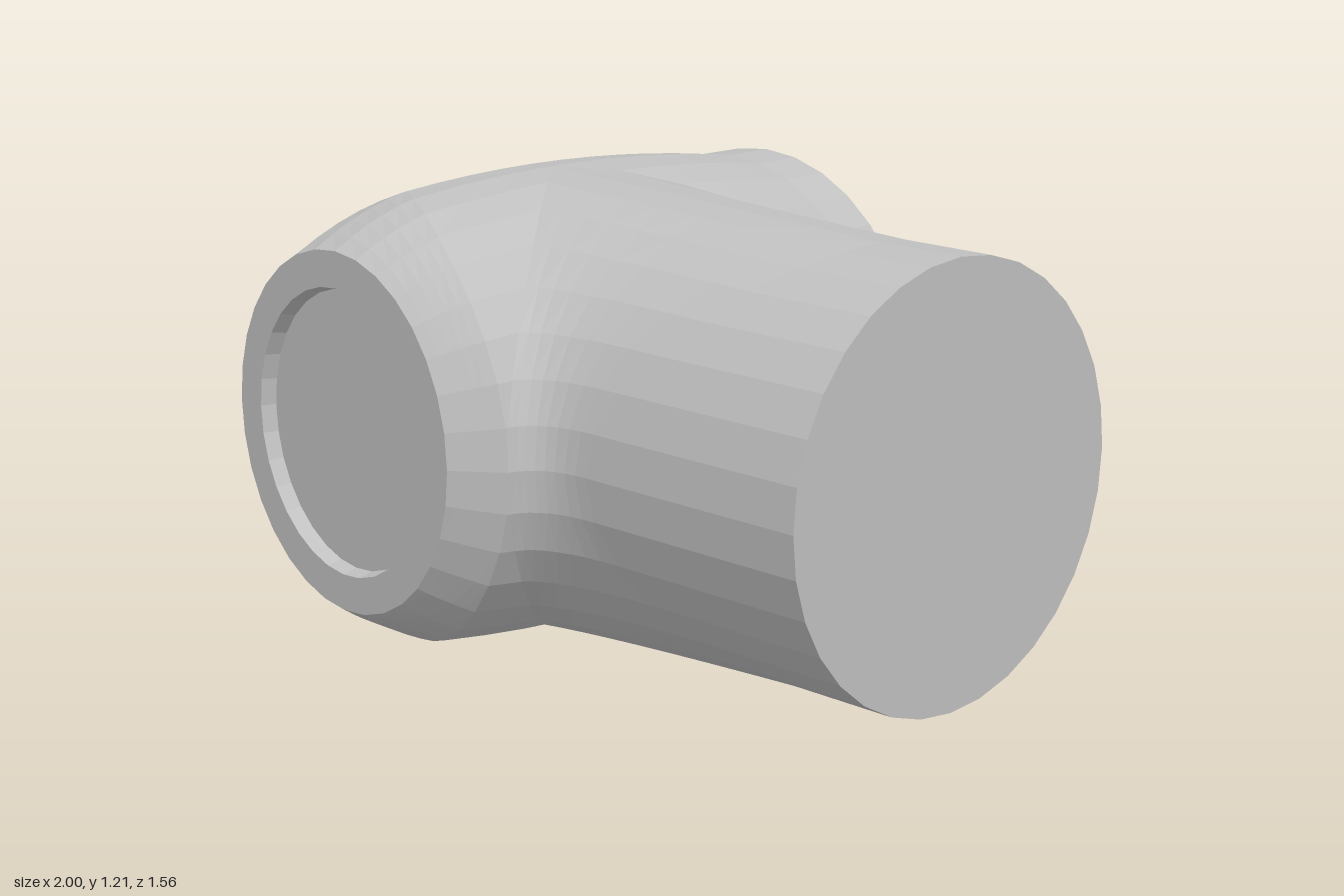
import * as THREE from 'three';

const SIDES = 32;
const CY = 0.607;      // height of both pipe axes
const CX = -0.397;     // x of the main run
const BZ = 0.026;      // z of the side branch
const PIPE_R = 0.557;

const V = (x, y, z) => new THREE.Vector3(x, y, z);
const lerp = THREE.MathUtils.lerp;
const ring = (fn) => Array.from({ length: SIDES }, (_, i) => fn((i / SIDES) * Math.PI * 2));

// Skin a list of closed rings; consecutive rings share their side count.
function loft(rings) {
  const pos = [], idx = [];
  rings.forEach((r) => r.forEach((p) => pos.push(p.x, p.y, p.z)));
  for (let i = 0; i < rings.length - 1; i++) {
    for (let j = 0; j < SIDES; j++) {
      const k = (j + 1) % SIDES;
      const a = i * SIDES + j, b = i * SIDES + k;
      idx.push(a, b, a + SIDES, b, b + SIDES, a + SIDES);
    }
  }
  const g = new THREE.BufferGeometry();
  g.setAttribute('position', new THREE.Float32BufferAttribute(pos, 3));
  g.setIndex(idx);
  g.computeVertexNormals();
  return g;
}

// Barrel radius of the main run along z
const barrelR = (z) => 0.603 - 0.112 * z * z;
const barrelPoint = (a, z) => V(CX + barrelR(z) * Math.cos(a), CY + barrelR(z) * Math.sin(a), z);

// Slanted crease where the barrel meets the tapered nose
const creaseZ = (a) => 0.5 + 0.33 * Math.cos(a) - 0.15 * Math.cos(a) ** 2;

// Point on the slightly turned front face, pushed in by depth
function facePoint(a, r, depth = 0) {
  const x = -0.43 + r * Math.cos(a);
  return V(x + 0.09 * depth, CY + r * Math.sin(a), 0.69 + (x + 0.89) * 0.092 - depth);
}

export function createModel() {
  const group = new THREE.Group();
  const grey = new THREE.MeshStandardMaterial({ color: 0xc0c0c0, flatShading: true });
  grey.name = 'grey';

  const add = (name, rings) => {
    const mesh = new THREE.Mesh(loft(rings), grey);
    mesh.name = name;
    group.add(mesh);
  };

  // Straight collar with closed back end
  const collarRing = (r, z) => ring((a) => V(CX + r * Math.cos(a), CY + r * Math.sin(a), z));
  add('backCollar', [collarRing(0, -0.78), collarRing(PIPE_R, -0.78), collarRing(PIPE_R, -0.64)]);

  // Bulging main run, from collar to crease
  const barrel = [];
  for (let i = 0; i <= 10; i++) {
    barrel.push(ring((a) => barrelPoint(a, lerp(-0.64, creaseZ(a), i / 10))));
  }
  add('mainBody', barrel);

  // Tapered nose, a little fuller on its long side
  const nose = [];
  for (let i = 0; i <= 5; i++) {
    const t = i / 5;
    nose.push(ring((a) => {
      const p = barrelPoint(a, creaseZ(a)).lerp(facePoint(a, 0.467), t);
      const bulge = 0.025 * 4 * t * (1 - t) * (1 - Math.cos(a)) / 2;
      return p.add(V(bulge * Math.cos(a), bulge * Math.sin(a), 0));
    }));
  }
  add('frontNose', nose);

  // Front rim with a shallow round recess
  add('frontRim', [ring((a) => facePoint(a, 0.467)), ring((a) => facePoint(a, 0.372))]);
  add('frontRecess', [
    ring((a) => facePoint(a, 0.372)),
    ring((a) => facePoint(a, 0.362, 0.04)),
    ring((a) => facePoint(a, 0, 0.04)),
  ]);

  // Side branch, flaring in a fillet onto the main run
  const branchPoint = (a, t) => {
    const s = Math.sin(a), c = -Math.cos(a), s2 = s * s;
    const fz = BZ + 0.658 * c;
    const r = barrelR(fz);
    const fy = r * s;
    const foot = V(CX + Math.sqrt(Math.max(0, r * r - fy * fy)), CY + fy, fz);
    const bend = V(foot.x + 0.015 + 0.3 * s2 * s2, CY + lerp(PIPE_R, 0.588, s2) * s, BZ + PIPE_R * c);
    const end = V(lerp(0.32, 0.75, s2), CY + PIPE_R * s, BZ + PIPE_R * c);
    return new THREE.QuadraticBezierCurve3(foot, bend, end).getPoint(t);
  };
  const branch = [];
  for (let i = 0; i <= 8; i++) branch.push(ring((a) => branchPoint(a, i / 8)));
  const endRing = (r) => ring((a) => V(1, CY + r * Math.sin(a), BZ - r * Math.cos(a)));
  branch.push(endRing(PIPE_R), endRing(0));
  add('sideBranch', branch);

  return group;
}
